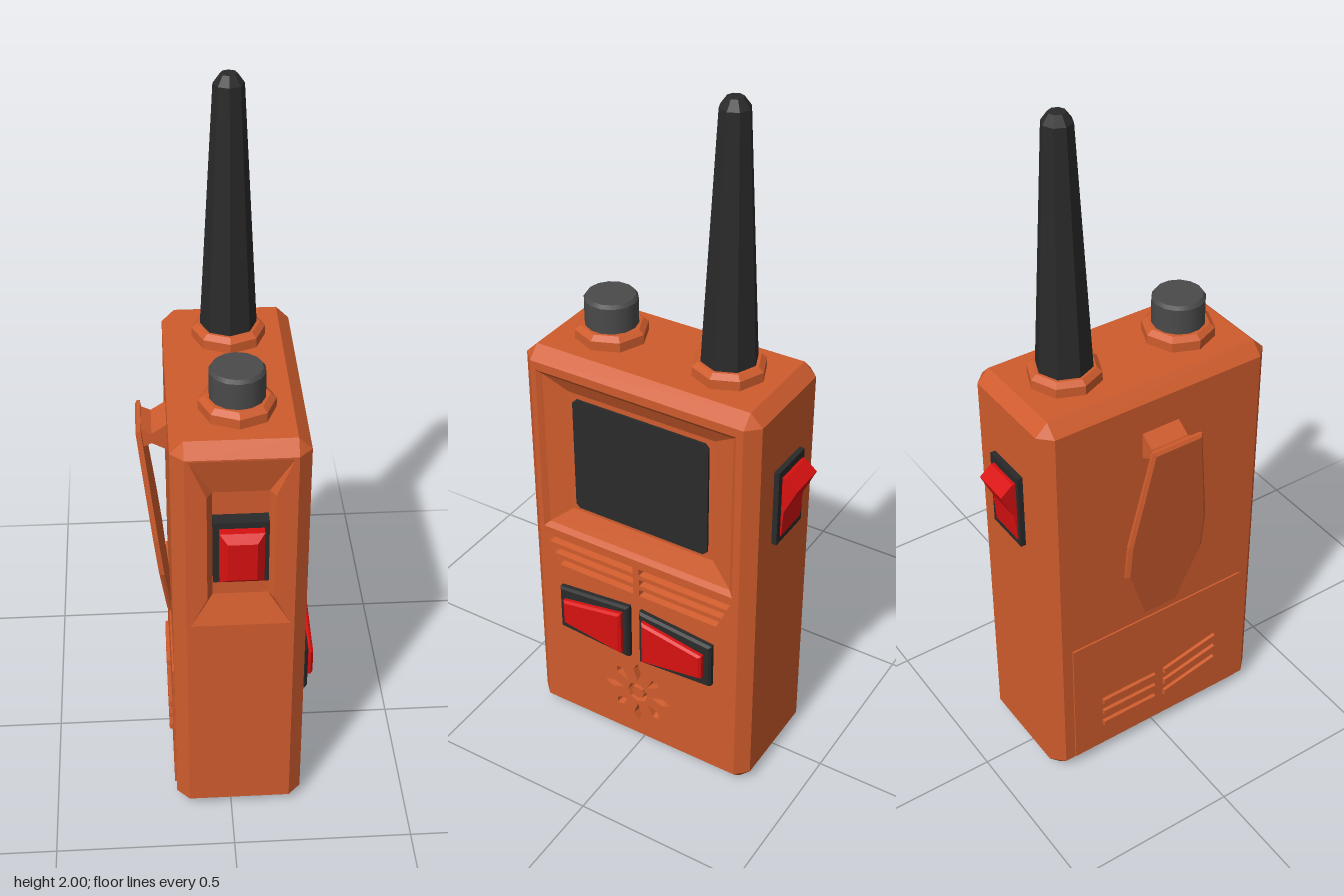
import * as THREE from 'three';

const mat = (name, color) => Object.assign(new THREE.MeshStandardMaterial({ color, flatShading: true }), { name });

// Face frames: u right, v up, d outward when looking at that side
const V = (x, y, z) => new THREE.Vector3(x, y, z);
const SCREEN_SIDE = (u, v, d) => V(d, v, -u);   // +x
const BACK_SIDE = (u, v, d) => V(-d, v, u);     // -x
const FRONT_EDGE = (u, v, d) => V(u, v, d);     // +z
const REAR_EDGE = (u, v, d) => V(-u, v, -d);    // -z
const UP = (u, v, d) => V(u, d, -v);            // +y

const rect = (u0, v0, u1, v1) => [[u0, v0], [u1, v0], [u1, v1], [u0, v1]];
const ngon = (n, r, u, v) => Array.from({ length: n }, (_, i) => {
  const a = (i / n) * Math.PI * 2;
  return [u + r * Math.cos(a), v + r * Math.sin(a)];
});

// Pull a loop in by m towards the middle of its bounding box
function inset(loop, m) {
  const b = new THREE.Box2().setFromPoints(loop.map(p => new THREE.Vector2(...p)));
  const c = b.getCenter(new THREE.Vector2()), s = b.getSize(new THREE.Vector2());
  return loop.map(([u, v]) => [c.x + (u - c.x) * (1 - 2 * m / s.x), c.y + (v - c.y) * (1 - 2 * m / s.y)]);
}

// Collects triangles into one flat-shaded surface
class Surface {
  pos = [];
  tri(a, b, c) {
    const area = b.clone().sub(a).cross(c.clone().sub(a)).length();
    if (area > 1e-9) for (const p of [a, b, c]) this.pos.push(p.x, p.y, p.z);
  }
  sheet(map, loop, d, holes = [], flip = false) {
    const clean = l => l.filter((p, i) => {
      const q = l[(i + 1) % l.length];
      return Math.hypot(p[0] - q[0], p[1] - q[1]) > 1e-6;
    }).map(p => new THREE.Vector2(...p));
    let outer = clean(loop);
    if (THREE.ShapeUtils.isClockWise(outer)) outer.reverse();
    const inner = holes.map(h => {
      const l = clean(h);
      return THREE.ShapeUtils.isClockWise(l) ? l : l.reverse();
    });
    const pts = [outer, ...inner].flat().map(p => map(p.x, p.y, d));
    for (const [a, b, c] of THREE.ShapeUtils.triangulateShape(outer, inner)) {
      flip ? this.tri(pts[a], pts[c], pts[b]) : this.tri(pts[a], pts[b], pts[c]);
    }
  }
  // Walls joining loops at successive depths, closed by a cap on the last
  stack(map, layers, { bottom = false, skip = () => false } = {}) {
    const cw = THREE.ShapeUtils.isClockWise(layers[0][0].map(p => new THREE.Vector2(...p)));
    const rings = layers.map(([l, d]) => (cw ? [...l].reverse() : l).map(([u, v]) => map(u, v, d)));
    for (let k = 0; k + 1 < rings.length; k++) {
      const A = rings[k], B = rings[k + 1];
      for (let i = 0; i < A.length; i++) {
        if (skip(k, i)) continue;
        const j = (i + 1) % A.length;
        this.tri(A[i], A[j], B[j]);
        this.tri(A[i], B[j], B[i]);
      }
    }
    this.sheet(map, ...layers[layers.length - 1]);
    if (bottom) this.sheet(map, ...layers[0], [], true);
    return this;
  }
  mesh(name, material) {
    const g = new THREE.BufferGeometry();
    g.setAttribute('position', new THREE.Float32BufferAttribute(this.pos, 3));
    g.computeVertexNormals();
    const m = new THREE.Mesh(g, material);
    m.name = name;
    return m;
  }
}

export function createModel() {
  const orange = mat('orange casing', 0xcf5c2d);
  const red = mat('red buttons', 0xd81010);
  const black = mat('black rubber', 0x2a2a2a);
  const grey = mat('grey knob', 0x4a4a4a);
  grey.flatShading = false;

  const group = new THREE.Group();
  group.name = 'handheldRadio';
  const solid = (name, material, map, ...layers) =>
    group.add(new Surface().stack(map, layers, { bottom: true }).mesh(name, material));

  // Casing: chamfered block whose screen side and front edge get recesses
  const X0 = -0.155, X1 = 0.2, Z0 = -0.355, Z1 = 0.36, H = 1.26, C = 0.035, U = -0.004;
  const [a, b, e, f] = [X0 + C, X1 - C, -Z1 + C, -Z0 - C];
  const small = [[a, e], [b, e], [b, e], [b, f], [b, f], [a, f], [a, f], [a, e]];
  const wide = [[a, -Z1], [b, -Z1], [X1, e], [X1, f], [b, -Z0], [a, -Z0], [X0, f], [X0, e]];
  const casing = new Surface().stack(UP, [[small, 0], [wide, C], [wide, H - C], [small, H]],
    { bottom: true, skip: (k, i) => k === 1 && (i === 0 || i === 2) });

  // Screen recess, sound slots and round vent
  const mouth = rect(-0.31, 0.685, 0.3, 1.2);
  const holes = [mouth];
  casing.stack(SCREEN_SIDE, [[mouth, X1], [inset(mouth, 0.014), X1 - 0.012],
    [rect(-0.23, 0.755, 0.22, 1.14), X1 - 0.035]]);
  const cut = loop => {
    holes.push(loop);
    casing.stack(SCREEN_SIDE, [[loop, X1], [inset(loop, 0.004), X1 - 0.02]]);
  };
  for (const s of [-1, 1]) for (let k = 0; k < 3; k++) {
    const y = 0.647 - 0.036 * k, end = 0.305 - 0.016 * k;
    cut([[U + s * 0.01, y - 0.011], [U + s * (end - 0.016), y - 0.011],
      [U + s * end, y + 0.011], [U + s * 0.01, y + 0.011]]);
  }
  const vy = 0.195;
  for (let i = 0; i < 8; i++) {
    const t = i * Math.PI / 4, len = i % 2 ? 0.1 : 0.11;
    cut([[0.045, 0], [0.085, -0.014], [len, 0], [0.085, 0.014]].map(([r, w]) =>
      [U + r * Math.cos(t) - w * Math.sin(t), vy + r * Math.sin(t) + w * Math.cos(t)]));
  }
  cut(ngon(8, 0.034, U, vy));
  casing.stack(SCREEN_SIDE, [[ngon(8, 0.024, U, vy), X1 - 0.02], [ngon(8, 0.02, U, vy), X1]]);
  casing.sheet(SCREEN_SIDE, rect(e, C, f, H - C), X1, holes);

  // Waisted recess around the talk button
  const waist = [[-0.11, 0.69], [0.155, 0.69], [0.11, 0.78], [0.11, 1.11],
    [0.155, 1.22], [-0.11, 1.22], [-0.065, 1.11], [-0.065, 0.78]];
  const floor = [[-0.05, 0.78], [0.095, 0.78], [0.095, 0.78], [0.095, 1.11],
    [0.095, 1.11], [-0.05, 1.11], [-0.05, 1.11], [-0.05, 0.78]];
  casing.stack(FRONT_EDGE, [[waist, Z1], [floor, Z1 - 0.025]]);
  casing.sheet(FRONT_EDGE, rect(a, C, b, H - C), Z1, [waist]);
  group.add(casing.mesh('casing', orange));

  // Screen with clipped corners
  const q = 0.012, [l, r, lo, hi] = [-0.215, 0.205, 0.77, 1.125];
  const glass = [[l + q, lo], [r - q, lo], [r, lo + q], [r, hi - q], [r - q, hi], [l + q, hi], [l, hi - q], [l, lo + q]];
  solid('screen', black, SCREEN_SIDE, [glass, X1 - 0.035], [glass, X1 - 0.028]);

  // Mirrored pair of keys under the screen
  for (const s of [-1, 1]) {
    const key = p => p.map(([w, y]) => [U + s * w, y]);
    const rim = key([[0.017, 0.337], [0.251, 0.353], [0.251, 0.497], [0.017, 0.52]]);
    const cap = key([[0.034, 0.355], [0.23, 0.385], [0.23, 0.465], [0.034, 0.5]]);
    solid('keyRim', black, SCREEN_SIDE, [rim, X1 - 0.005], [rim, X1 + 0.012], [inset(rim, 0.006), X1 + 0.02]);
    solid('key', red, SCREEN_SIDE, [cap, X1 + 0.01], [cap, X1 + 0.03], [inset(cap, 0.008), X1 + 0.037]);
  }

  // Talk button on the front edge
  const talkRim = rect(-0.05, 0.85, 0.093, 1.04), talk = rect(-0.035, 0.868, 0.08, 1.022);
  solid('talkButtonRim', black, FRONT_EDGE, [talkRim, 0.33], [talkRim, 0.373]);
  solid('talkButton', red, FRONT_EDGE, [talk, 0.365], [talk, 0.395], [inset(talk, 0.02), 0.415]);

  // Rocker switch on the rear edge
  const rockRim = rect(-0.093, 0.82, 0.045, 1.05);
  solid('rockerRim', black, REAR_EDGE, [rockRim, 0.35], [rockRim, 0.37]);
  const rocker = [[0.36, 0.84], [0.373, 0.84], [0.378, 0.92], [0.415, 1.0], [0.38, 1.028], [0.36, 1.028]];
  solid('rocker', red, (u, v, d) => V(d, v, -u), [rocker, -0.033], [rocker, 0.075]);

  // Antenna, knob and their collars
  const turned = (name, material, z, sides, profile) => {
    const parts = new THREE.LatheGeometry(profile.map(p => new THREE.Vector2(...p)), sides);
    const m = new THREE.Mesh(parts, material);
    m.name = name;
    m.position.set(0.0225, 0, z);
    group.add(m);
  };
  for (const z of [-0.177, 0.182]) {
    turned('collar', orange, z, 8, [[0.1, 1.255], [0.1, 1.287], [0.085, 1.3], [0, 1.3]]);
  }
  turned('antenna', black, -0.177, 8, [[0.077, 1.295], [0.04, 1.975], [0.022, 2], [0, 2]]);
  turned('knob', grey, 0.182, 14, [[0.073, 1.295], [0.073, 1.373], [0.073, 1.373], [0.066, 1.383], [0.066, 1.383], [0, 1.383]]);

  // Battery cover with raised ribs
  const cover = rect(-0.288, 0.04, 0.294, 0.468);
  solid('batteryCover', orange, BACK_SIDE, [cover, 0.15], [cover, 0.16]);
  for (let k = 0; k < 3; k++) {
    const y = 0.13 + 0.045 * k;
    for (const [z0, z1, rise] of [[-0.195, -0.01, 0], [0.02, 0.205, 0.042]]) {
      const rib = [[z0, y - 0.01], [z1, y - 0.01 + rise], [z1, y + 0.01 + rise], [z0, y + 0.01]];
      solid('coverRib', orange, BACK_SIDE, [rib, 0.155], [inset(rib, 0.002), 0.17]);
    }
  }

  // Belt clip leaning away from the back, with its mount
  const lean = (u, v, d) => V(-(0.15 + (v - 0.49) * 0.115 + d), v, u);
  const clip = [[-0.055, 0.49], [0.06, 0.49], [0.13, 0.68], [0.13, 0.8], [0.08, 1.125],
    [-0.075, 1.125], [-0.125, 0.8], [-0.125, 0.68]];
  solid('beltClip', orange, lean, [clip, 0], [clip, 0.008], [inset(clip, 0.01), 0.015]);
  solid('clipMount', orange, BACK_SIDE, [rect(-0.055, 1.05, 0.06, 1.135), 0.15],
    [rect(-0.055, 1.075, 0.06, 1.105), 0.195], [rect(-0.055, 1.06, 0.06, 1.12), 0.226]);

  return group;
}
